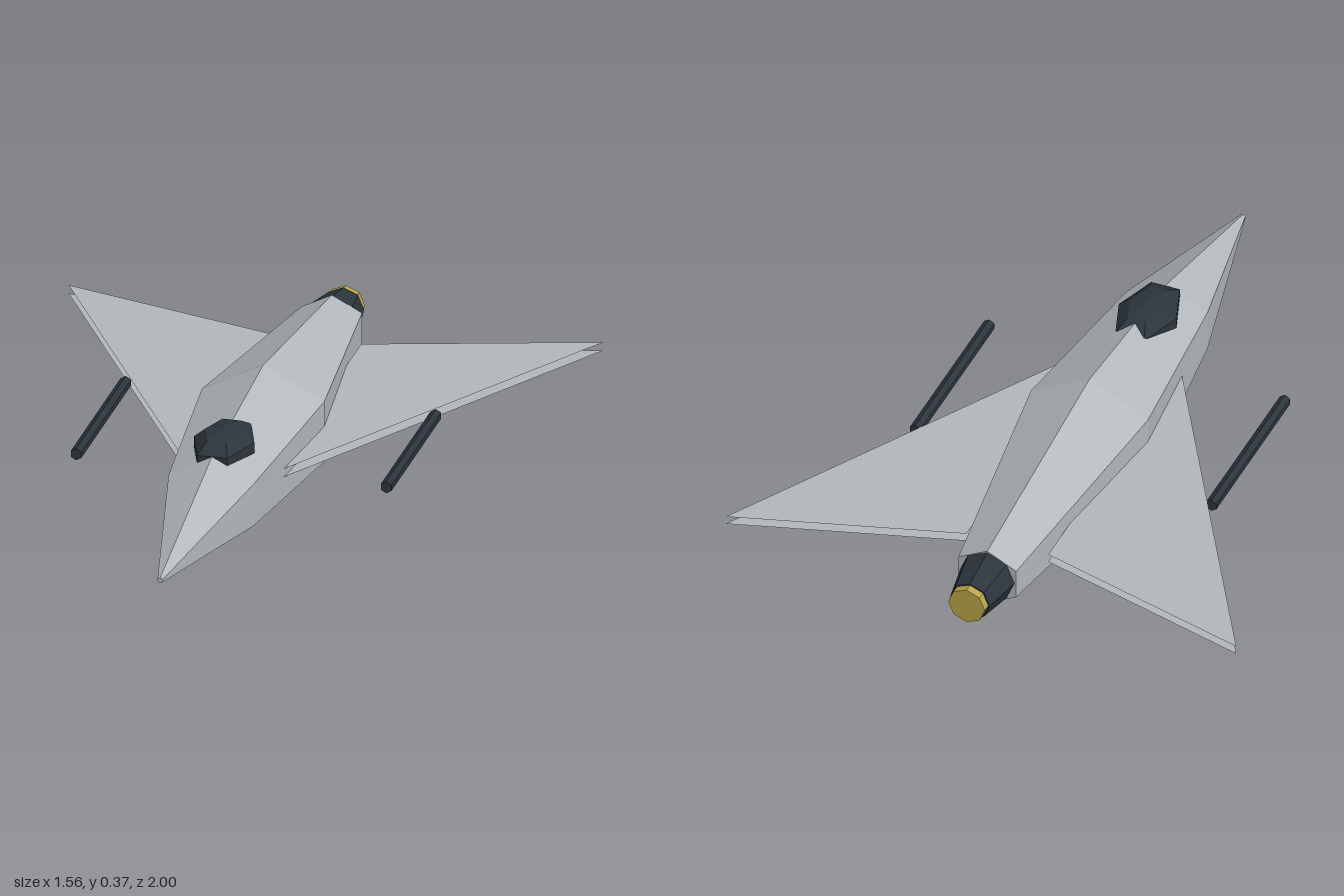
import * as THREE from 'three';

const material = (name, color) => Object.assign(new THREE.MeshStandardMaterial({ color }), { name });

// Facet a geometry so every face has its own flat normal
function facet(geometry) {
  const flat = geometry.index ? geometry.toNonIndexed() : geometry;
  flat.computeVertexNormals();
  return flat;
}

// Hexagonal hull lofted through sections [z, centre height, radius]
function hullGeometry(sections, sides = 6, widen = 1.12) {
  const pos = [], index = [];
  for (const [z, cy, r] of sections) {
    for (let i = 0; i < sides; i++) {
      const a = (i / sides) * Math.PI * 2;
      pos.push(Math.sin(a) * r * widen, cy + Math.cos(a) * r, z);
    }
  }
  for (let s = 0; s < sections.length - 1; s++) {
    for (let i = 0; i < sides; i++) {
      const a = s * sides + i, b = s * sides + (i + 1) % sides;
      index.push(a, b, a + sides, b, b + sides, a + sides);
    }
  }
  // End caps
  const last = (sections.length - 1) * sides;
  for (let i = 1; i < sides - 1; i++) {
    index.push(0, i + 1, i, last, last + i, last + i + 1);
  }
  const g = new THREE.BufferGeometry();
  g.setAttribute('position', new THREE.Float32BufferAttribute(pos, 3));
  g.setIndex(index);
  return facet(g);
}

// Cylinder along z running from front to back
function barrel(rFront, rBack, zFront, zBack, sides) {
  const g = new THREE.CylinderGeometry(rBack, rFront, zFront - zBack, sides);
  g.rotateX(-Math.PI / 2).translate(0, 0, (zFront + zBack) / 2);
  return facet(g);
}

export function createModel() {
  const hullGrey = material('hull grey', 0xb3b9bc);
  const wingGrey = material('wing grey', 0xb3b9bc);
  wingGrey.side = THREE.DoubleSide;
  const darkSteel = material('dark steel', 0x2c353c);
  const gold = material('exhaust gold', 0xbaa548);

  const model = new THREE.Group();
  model.name = 'spacecraft';
  const add = (name, geometry, mat, x = 0, y = 0, z = 0) => {
    const mesh = new THREE.Mesh(geometry, mat);
    mesh.name = name;
    mesh.position.set(x, y, z);
    model.add(mesh);
    return mesh;
  };

  // Fuselage
  add('fuselage', hullGeometry([
    [1, 0.172, 0.008],
    [0.45, 0.189, 0.128],
    [-0.11, 0.187, 0.184],
    [-0.85, 0.188, 0.091],
  ]), hullGrey);

  // Faceted canopy sunk into the hull
  const canopy = new THREE.SphereGeometry(1, 6, 5);
  canopy.scale(0.0925, 0.054, 0.158);
  add('canopy', facet(canopy), darkSteel, 0, 0.301, 0.31);

  // Engine nozzle and glowing exhaust
  add('engineNozzle', barrel(0.083, 0.06, -0.85, -0.975, 8), darkSteel, 0, 0.19, 0);
  add('exhaust', barrel(0.056, 0.056, -0.97, -1, 8), gold, 0, 0.19, 0);

  for (const side of [1, -1]) {
    const label = side > 0 ? 'left' : 'right';

    // Delta wing: an upper and a lower skin, open at the edges
    const outline = new THREE.Shape([
      new THREE.Vector2(side * 0.125, 0.25),
      new THREE.Vector2(side * 0.78, -0.895),
      new THREE.Vector2(side * 0.125, -0.705),
    ]);
    for (const [skin, y, turn] of [['Upper', 0.203, -1], ['Lower', 0.178, 1]]) {
      const g = new THREE.ShapeGeometry(outline);
      // Lay the outline flat with z kept as drawn, skin facing outwards
      g.rotateX(turn * Math.PI / 2);
      if (turn < 0) {
        g.scale(1, 1, -1);
        const idx = g.index.array;
        for (let i = 0; i < idx.length; i += 3) [idx[i], idx[i + 1]] = [idx[i + 1], idx[i]];
        g.computeVertexNormals();
        // Turn the skin over so its front looks up
        if (g.attributes.normal.getY(0) < 0) {
          for (let i = 0; i < idx.length; i += 3) [idx[i], idx[i + 1]] = [idx[i + 1], idx[i]];
          g.computeVertexNormals();
        }
      }
      add(`${label}Wing${skin}Skin`, g, wingGrey, 0, y, 0);
    }

    // Gun ahead of the wing's leading edge
    add(`${label}Gun`, barrel(0.018, 0.018, 0.235, -0.3, 6), darkSteel, side * 0.452, 0.19, 0);
  }
  return model;
}
